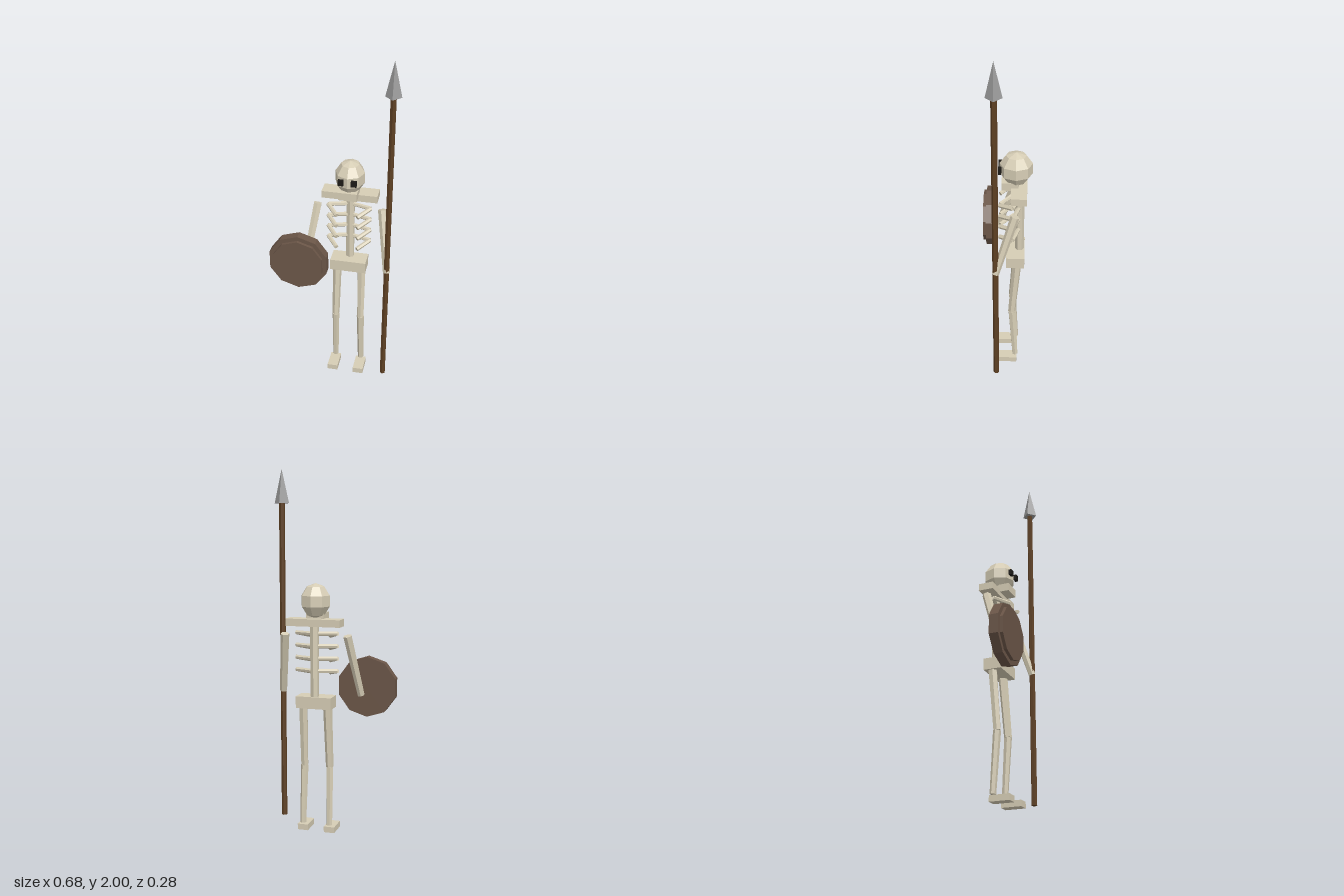
import * as THREE from 'three';

const mat = (name, color) => {
  const m = new THREE.MeshStandardMaterial({ color, flatShading: true });
  m.name = name;
  return m;
};

export function createModel() {
  const bone = mat('bone', 0xd6cdb5);
  const wood = mat('spear wood', 0x5e4023);
  const steel = mat('steel', 0x9c9c9c);
  const socket = mat('eye socket', 0x1c1a16);
  const shieldWood = mat('shield wood', 0x6b5648);

  const model = new THREE.Group();
  model.name = 'skeletonGuard';
  // The body stands off-centre to leave room for the shield
  const body = new THREE.Group();
  body.name = 'body';
  body.position.x = 0.072;
  model.add(body);

  const add = (parent, name, geometry, material, x, y, z) => {
    const mesh = new THREE.Mesh(geometry, material);
    mesh.name = name;
    mesh.position.set(x, y, z);
    parent.add(mesh);
    return mesh;
  };
  const box = (name, w, h, d, x, y, z, material = bone) =>
    add(body, name, new THREE.BoxGeometry(w, h, d), material, x, y, z);

  // Tapered six-sided bone between two points
  const up = new THREE.Vector3(0, 1, 0);
  const limb = (name, from, to, rFrom, rTo) => {
    const a = new THREE.Vector3(...from), b = new THREE.Vector3(...to);
    const dir = b.clone().sub(a);
    const mid = a.clone().add(b).multiplyScalar(0.5);
    const mesh = add(body, name, new THREE.CylinderGeometry(rTo, rFrom, dir.length(), 6), bone, mid.x, mid.y, mid.z);
    mesh.quaternion.setFromUnitVectors(up, dir.normalize());
  };

  // Head
  const skull = add(body, 'skull', new THREE.SphereGeometry(0.095, 8, 5), bone, 0, 1.295, -0.051);
  skull.scale.set(0.88, 1, 0.965);
  box('jaw', 0.1, 0.045, 0.09, 0, 1.208, -0.02);

  // Trunk
  box('shoulderBar', 0.305, 0.04, 0.084, 0, 1.18, -0.068);
  limb('spine', [0, 0.76, -0.072], [0, 1.17, -0.072], 0.024, 0.024);
  box('pelvis', 0.2, 0.065, 0.1, 0, 0.742, -0.05);

  for (const s of [-1, 1]) {
    const side = s > 0 ? 'left' : 'right';
    box(side + 'Eye', 0.03, 0.031, 0.017, s * 0.035, 1.299, 0.0345, socket);

    // Ribs run out from the spine, then forward and down
    for (let i = 0; i < 4; i++) {
      const y = 1.118 - i * 0.068;
      limb(side + 'RibBack', [0, y, -0.07], [s * 0.117, y, -0.035], 0.012, 0.012);
      limb(side + 'RibFront', [s * 0.117, y, -0.035], [s * 0.056, y - 0.022, 0.036], 0.012, 0.012);
    }

    // Arm
    limb(side + 'Arm', [s * 0.178, 1.11, -0.05], [s * 0.228, 0.772, 0.052], 0.024, 0.02);

    // Leg with slightly bent knee
    limb(side + 'Thigh', [s * 0.07, 0.72, -0.06], [s * 0.073, 0.375, -0.032], 0.025, 0.021);
    limb(side + 'Shin', [s * 0.073, 0.375, -0.032], [s * 0.077, 0.045, -0.052], 0.021, 0.017);
    box(side + 'Foot', 0.06, 0.033, 0.112, s * 0.077, 0.0185, -0.005);
  }

  // Spear
  add(model, 'spearShaft', new THREE.CylinderGeometry(0.016, 0.016, 1.78, 6), wood, 0.3, 0.93, 0.052);
  add(model, 'spearTip', new THREE.ConeGeometry(0.042, 0.185, 4), steel, 0.3, 1.9075, 0.052);

  // Shield with a raised front plate
  const shield = new THREE.Group();
  shield.name = 'shield';
  shield.position.set(-0.183, 0.815, 0);
  model.add(shield);
  for (const [name, r, depth, z] of [['shieldBoard', 0.168, 0.05, 0.095], ['shieldFace', 0.144, 0.017, 0.1285]]) {
    add(shield, name, new THREE.CylinderGeometry(r, r, depth, 10), shieldWood, 0, 0, z).rotation.x = Math.PI / 2;
  }

  return model;
}
